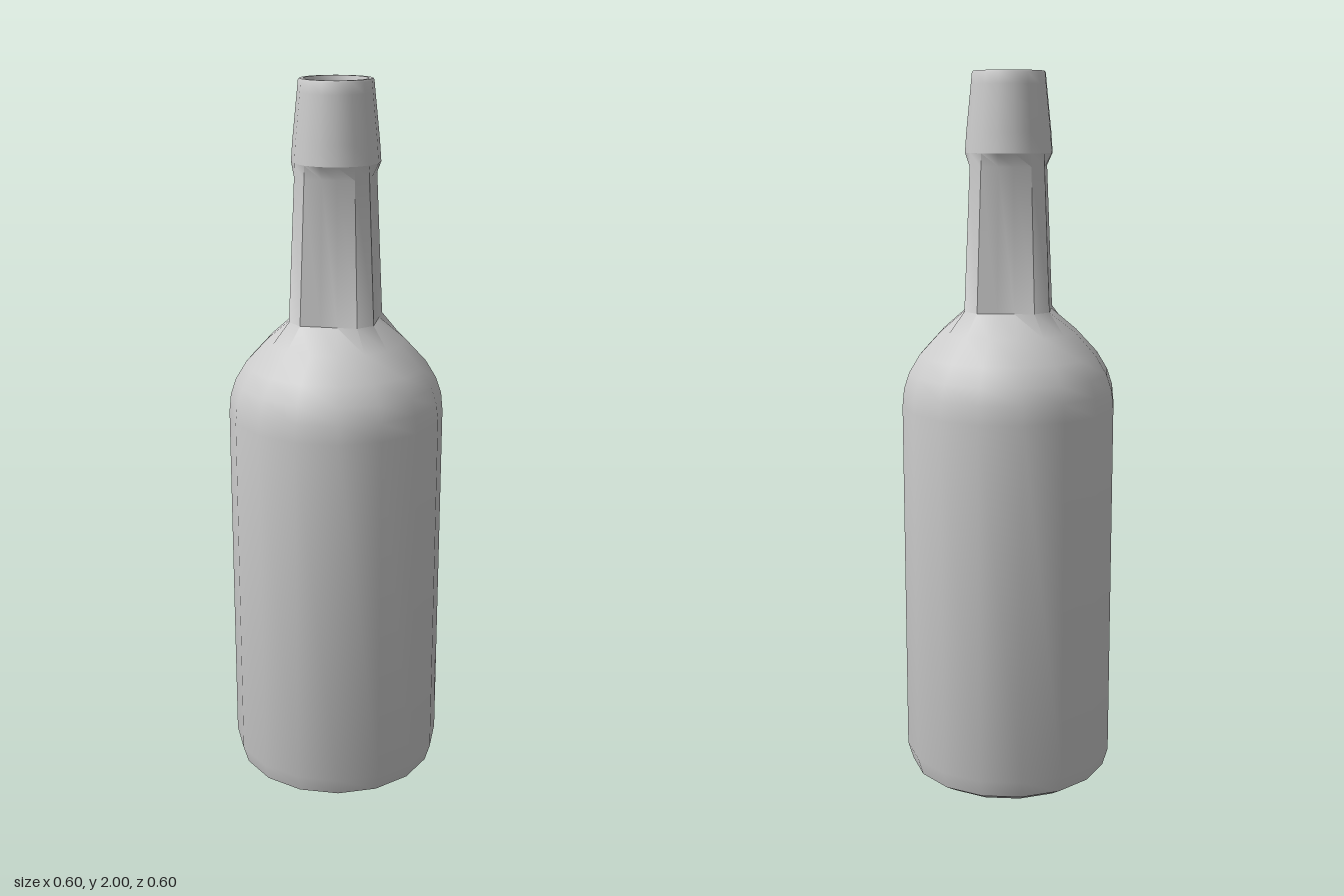
import * as THREE from 'three';
import { toCreasedNormals } from 'three/addons/utils/BufferGeometryUtils.js';

const SIDES = 16;
const STEP = (Math.PI * 2) / SIDES;

// Radius of ring corner k when only some corners of each quarter turn are kept
// and the others lie on the straight chord between them.
function chordRadius(r, k, from, to) {
  const q = (((k - from) % 4) + 4) % 4;
  const span = to - from;
  if (q >= span) return r;
  const half = (span * STEP) / 2;
  return (r * Math.cos(half)) / Math.cos(q * STEP - half);
}

// Turned shape from [radius, height, chord] rows; chord = [from, to] flattens that ring.
function turned(name, rows, material) {
  const geo = new THREE.LatheGeometry(rows.map(([r, y]) => new THREE.Vector2(r, y)), SIDES);
  const pos = geo.attributes.position;
  for (let i = 0; i < pos.count; i++) {
    const [r, , chord] = rows[i % rows.length];
    if (!chord) continue;
    const k = Math.round(Math.atan2(pos.getZ(i), pos.getX(i)) / STEP);
    const s = chordRadius(r, k, ...chord);
    pos.setX(i, s * Math.cos(k * STEP));
    pos.setZ(i, s * Math.sin(k * STEP));
  }
  const mesh = new THREE.Mesh(toCreasedNormals(geo, 0.7), material);
  mesh.name = name;
  return mesh;
}

export function createModel() {
  const group = new THREE.Group();
  group.name = 'bottle';
  const glass = new THREE.MeshStandardMaterial({ color: 0xcccccc, side: THREE.DoubleSide });
  const facet = [1, 4]; // flats on the neck
  const square = [3, 7]; // four-sided throat

  // Base, straight body, rounded shoulder and faceted neck
  group.add(turned('body', [
    [0, 0], [0.245, 0], [0.285, 0.025], [0.3, 0.075],
    [0.3, 1.09], [0.295, 1.14], [0.28, 1.185], [0.25, 1.235], [0.19, 1.3],
    [0.14, 1.36, facet], [0.121, 1.75, facet], [0.12, 1.785],
  ], glass));

  // Tapered collar and rim
  group.add(turned('collar', [
    [0.12, 1.785], [0.116, 1.84], [0.103, 1.965], [0.1, 1.995], [0.097, 2], [0.086, 2], [0.083, 1.985],
  ], glass));

  // Hollow inside: throat, inner neck, inner body and floor
  group.add(turned('interior', [
    [0.083, 1.985], [0.081, 1.78, square], [0.085, 1.38, square],
    [0.23, 1.21], [0.27, 1.09], [0.27, 0.08], [0.23, 0.03], [0, 0.03],
  ], glass));

  return group;
}
